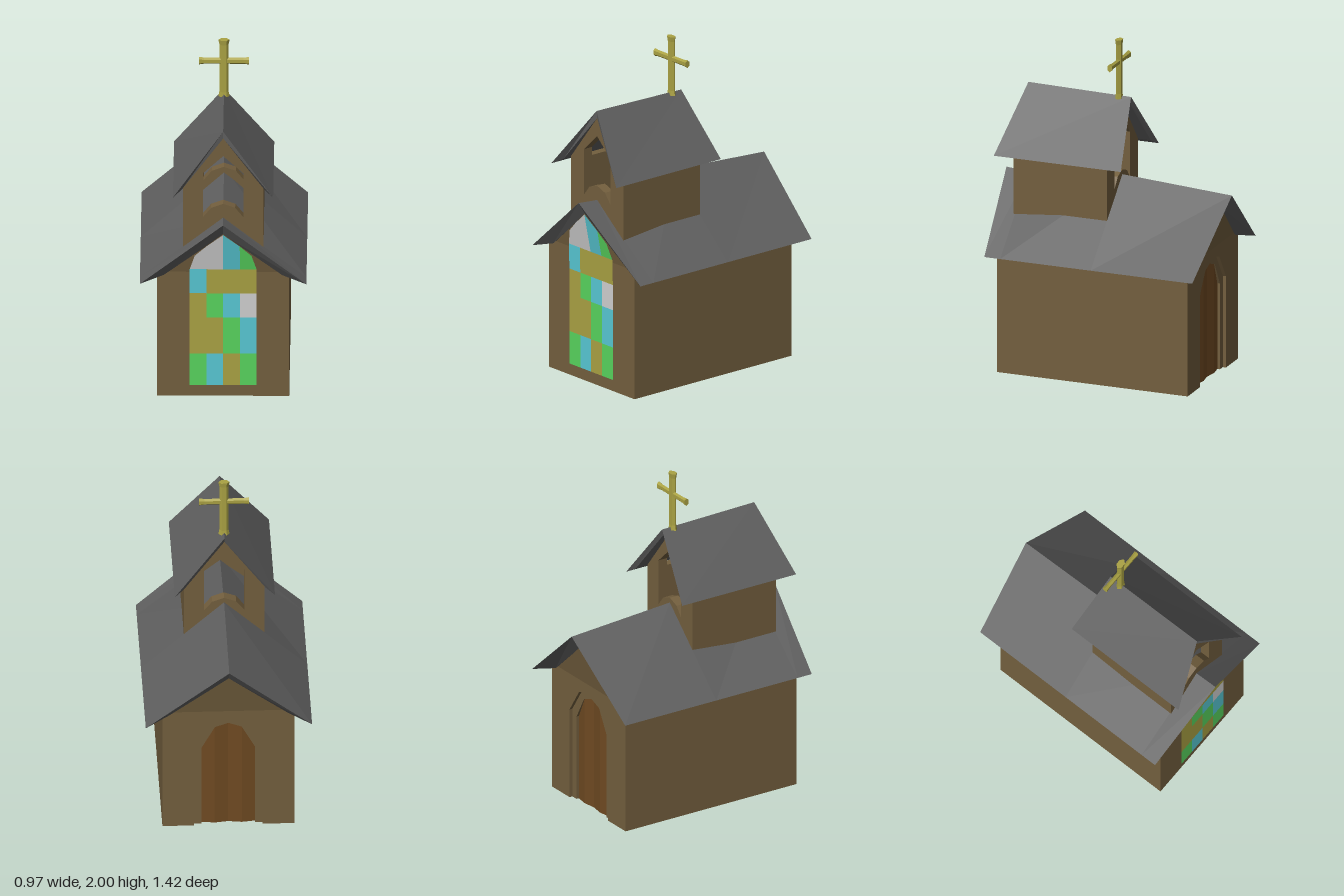
import * as THREE from 'three';
import { mergeGeometries } from 'three/addons/utils/BufferGeometryUtils.js';

const mat = (name, color, side = THREE.FrontSide) => {
  const m = new THREE.MeshStandardMaterial({ color, side });
  m.name = name;
  return m;
};

// Flat-shaded geometry from convex polygons (corners counter-clockwise)
function polys(list) {
  const v = [];
  for (const p of list)
    for (let i = 1; i < p.length - 1; i++) v.push(...p[0], ...p[i], ...p[i + 1]);
  const g = new THREE.BufferGeometry();
  g.setAttribute('position', new THREE.Float32BufferAttribute(v, 3));
  g.computeVertexNormals();
  return g;
}

// Gabled roof slab from cross-sections listed front to back
function roofGeometry(sections) {
  const rings = sections.map(s => [
    [s.ex, s.ey, s.ez], [0, s.ry, s.rz], [-s.ex, s.ey, s.ez],
    [-s.ix, s.iy, s.iz], [0, s.iry, s.irz], [s.ix, s.iy, s.iz],
  ]);
  const faces = [];
  for (let k = 0; k < rings.length - 1; k++)
    for (let i = 0; i < 6; i++) {
      const j = (i + 1) % 6, f = rings[k], b = rings[k + 1];
      faces.push([f[i], b[i], b[j], f[j]]);
    }
  const f = rings[0], b = rings[rings.length - 1];
  faces.push([f[0], f[1], f[4], f[5]], [f[1], f[2], f[3], f[4]]);
  faces.push([b[5], b[4], b[1], b[0]], [b[4], b[3], b[2], b[1]]);
  return polys(faces);
}

function extrude(points, hole, depth, z) {
  const toV = a => a.map(p => new THREE.Vector2(...p));
  const s = new THREE.Shape(toV(points));
  if (hole) s.holes.push(new THREE.Path(toV(hole)));
  return new THREE.ExtrudeGeometry(s, { depth, bevelEnabled: false }).translate(0, 0, z);
}

export function createModel() {
  const group = new THREE.Group();
  const wall = mat('wall brown', 0x735f3e);
  const slate = mat('roof grey', 0x606060, THREE.DoubleSide);
  const wood = mat('door brown', 0x6f4a22, THREE.DoubleSide);
  const glass = {
    G: mat('gold', 0xaaa243), N: mat('green glass', 0x58d45e),
    C: mat('blue glass', 0x58c8d4), W: mat('white glass', 0xd0d0d0),
  };
  const add = (name, geo, m) => {
    const mesh = new THREE.Mesh(geo, m);
    mesh.name = name;
    group.add(mesh);
    return mesh;
  };

  // Main hall, with the doorway cut into its back wall
  add('hall', new THREE.BoxGeometry(0.77, 0.79, 1.16).translate(0, 0.395, 0.03), wall);
  const arch = [[-0.2, 0], [-0.2, 0.56], [-0.1, 0.71], [0, 0.74], [0.1, 0.71], [0.2, 0.56], [0.2, 0]];
  add('backWall', extrude([[-0.385, 0], ...arch, [0.385, 0], [0.385, 0.79], [-0.385, 0.79]], null, 0.04, -0.59), wall);

  // Raised door frame inside the doorway
  const inner = arch.map(([x, y]) => [x * 0.78, y * 0.94]);
  add('doorFrame', extrude([...arch, ...inner.slice().reverse()], null, 0.018, -0.57), wall);

  // Folded door panels
  const dx = [-0.16, -0.08, 0, 0.08, 0.16], dy = [0.53, 0.67, 0.7, 0.67, 0.53];
  const panels = [];
  for (let i = 0; i < 4; i++) {
    const za = i % 2 ? -0.565 : -0.553, zb = i % 2 ? -0.553 : -0.565;
    panels.push([[dx[i + 1], 0, zb], [dx[i], 0, za], [dx[i], dy[i], za], [dx[i + 1], dy[i + 1], zb]]);
  }
  add('door', polys(panels), wood);

  // Gables leaning out under the roof ridge
  add('frontGable', polys([[[-0.345, 0.79, 0.61], [0.345, 0.79, 0.61], [0, 1.07, 0.666]]]), wall);
  add('backGable', polys([[[0.345, 0.79, -0.59], [-0.345, 0.79, -0.59], [0, 1.07, -0.646]]]), wall);

  // Main roof
  const eave = { ex: 0.485, ey: 0.73, ix: 0.345, iy: 0.77 };
  add('mainRoof', roofGeometry([
    { ...eave, ez: 0.65, ry: 1.13, rz: 0.71, iz: 0.61, iry: 1.05, irz: 0.66 },
    { ...eave, ez: 0.55, ry: 1.118, rz: 0.57, iz: 0.55, iry: 1.05, irz: 0.57 },
    { ...eave, ez: -0.02, ry: 1.175, rz: -0.02, iz: -0.02, iry: 1.05, irz: -0.02 },
    { ...eave, ez: -0.66, ry: 1.13, rz: -0.71, iz: -0.59, iry: 1.05, irz: -0.64 },
  ]), slate);

  // Stained glass window: rows of panes from the bottom up
  const pane = (x, y) => [x, y, 0.614 + Math.max(0, y - 0.79) * 0.2];
  const xs = [-0.195, -0.097, 0, 0.097, 0.195], ys = [0.07, 0.27, 0.5, 0.655, 0.81];
  const panes = { G: [], N: [], C: [], W: [] };
  ['NCGN', 'GGNC', 'GNCW', 'CGGG'].forEach((row, r) => [...row].forEach((c, i) =>
    panes[c].push([pane(xs[i], ys[r]), pane(xs[i + 1], ys[r]), pane(xs[i + 1], ys[r + 1]), pane(xs[i], ys[r + 1])])));
  panes.W.push([pane(-0.195, 0.81), pane(-0.097, 0.81), pane(-0.097, 0.97), pane(-0.165, 0.905)]);
  panes.W.push([pane(-0.097, 0.81), pane(0, 0.81), pane(0, 1.05), pane(-0.097, 0.97)]);
  panes.C.push([pane(0, 0.81), pane(0.097, 0.81), pane(0.097, 0.97), pane(0, 1.05)]);
  panes.N.push([pane(0.097, 0.81), pane(0.195, 0.81), pane(0.165, 0.905), pane(0.097, 0.97)]);
  for (const c in panes) add('windowPanes', polys(panes[c]), glass[c]);

  // Hollow bell tower: two pierced gable walls and two side walls
  const gable = [[-0.235, 0.9], [0.235, 0.9], [0.235, 1.33], [0, 1.625], [-0.235, 1.33]];
  const opening = [[-0.118, 1.12], [-0.07, 1.18], [0, 1.205], [0.07, 1.18], [0.118, 1.12],
    [0.118, 1.4], [0, 1.51], [-0.118, 1.4]];
  add('towerFront', extrude(gable, opening, 0.06, 0.508), wall);
  add('towerBack', extrude(gable, opening, 0.06, -0.02), wall);
  for (const s of [-1, 1])
    add('towerSide', new THREE.BoxGeometry(0.05, 0.42, 0.48).translate(s * 0.21, 1.11, 0.27), wall);

  // Tower roof
  const tEave = { ex: 0.292, ey: 1.29, ix: 0.24, iy: 1.32, iry: 1.622 };
  add('towerRoof', roofGeometry([
    { ...tEave, ez: 0.67, ry: 1.667, rz: 0.572, iz: 0.62, irz: 0.568 },
    { ...tEave, ez: -0.13, ry: 1.655, rz: -0.075, iz: -0.1, irz: -0.06 },
  ]), slate);

  // Cross: flattened six-sided bars with slightly flared tips
  const bar = (len, w, d) => {
    const h = len / 2;
    const g = new THREE.LatheGeometry([[0, -h], [1.1, -h], [0.9, -h + 0.03], [0.9, h - 0.03], [1.1, h], [0, h]]
      .map(p => new THREE.Vector2(...p)), 6).toNonIndexed();
    g.rotateY(Math.PI / 2).scale(w, 1, d);
    g.computeVertexNormals();
    return g;
  };
  add('cross', mergeGeometries([
    bar(0.36, 0.03, 0.02).translate(0, 1.82, 0),
    bar(0.29, 0.022, 0.015).rotateZ(Math.PI / 2).translate(0, 1.865, 0),
  ]), glass.G);

  return group;
}
